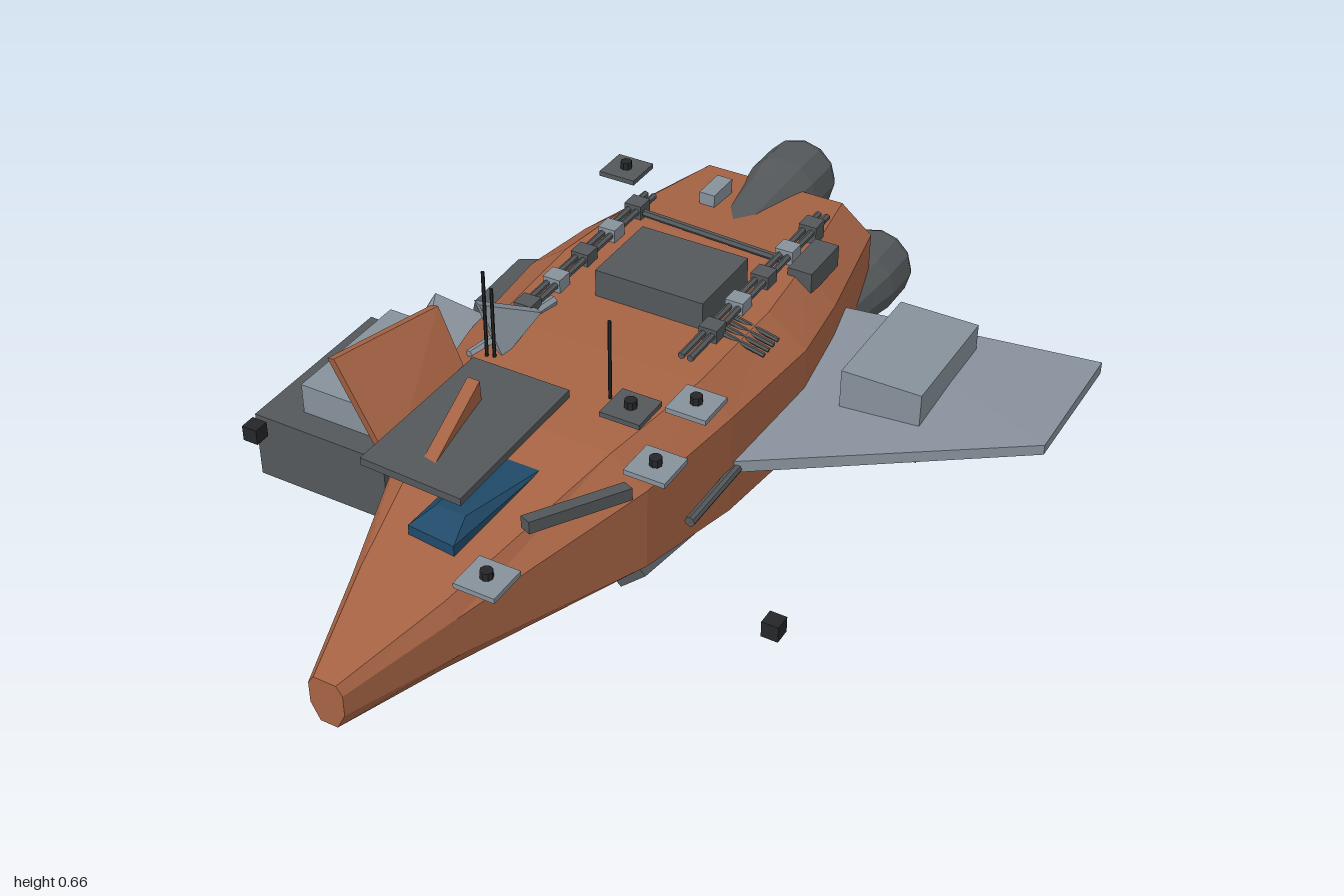
import * as THREE from 'three';
import { ConvexGeometry } from 'three/addons/geometries/ConvexGeometry.js';

const mat = (name, color) => {
  const m = new THREE.MeshStandardMaterial({ color });
  m.name = name;
  return m;
};

export function createModel() {
  const group = new THREE.Group();
  const rust = mat('rust', 0xa66344);
  const steel = mat('steel', 0x87919b);
  const dark = mat('dark grey', 0x54585a);
  const black = mat('black', 0x242628);
  const blue = mat('canopy blue', 0x204a69);

  const add = (name, geo, material, x = 0, y = 0, z = 0) => {
    let g = geo.index ? geo.toNonIndexed() : geo;
    g.computeVertexNormals();
    const m = new THREE.Mesh(g, material);
    m.name = name;
    m.position.set(x, y, z);
    group.add(m);
    return m;
  };
  // box given by its limits on each axis
  const box = (name, material, x0, x1, y0, y1, z0, z1) =>
    add(name, new THREE.BoxGeometry(x1 - x0, y1 - y0, z1 - z0), material,
      (x0 + x1) / 2, (y0 + y1) / 2, (z0 + z1) / 2);
  // flat plate through the given corners, thickened along a vector
  const plate = (name, material, corners, tx, ty, tz) => {
    const pts = [];
    for (const [x, y, z] of corners)
      for (const s of [-0.5, 0.5]) pts.push(new THREE.Vector3(x + s * tx, y + s * ty, z + s * tz));
    return add(name, new ConvexGeometry(pts), material);
  };
  // round bar between two points
  const rod = (name, material, a, b, r, sides = 8) => {
    const p = new THREE.Vector3(...a), q = new THREE.Vector3(...b);
    const d = q.clone().sub(p);
    const m = add(name, new THREE.CylinderGeometry(r, r, d.length(), sides), material);
    m.position.copy(p).add(q).multiplyScalar(0.5);
    m.quaternion.setFromUnitVectors(new THREE.Vector3(0, 1, 0), d.normalize());
    return m;
  };

  // hull: eight-sided sections [z, half width, top half, bottom half, y bottom, y low, y high, y top]
  const cx = -0.125;
  const rings = [
    [1.0, 0.04, 0.026, 0.02, 0.19, 0.23, 0.28, 0.3],
    [0.74, 0.125, 0.1, 0.08, 0.155, 0.215, 0.31, 0.345],
    [0.28, 0.285, 0.2, 0.2, 0.1, 0.17, 0.37, 0.435],
    [0.0, 0.33, 0.25, 0.24, 0.08, 0.14, 0.39, 0.455],
    [-0.3, 0.355, 0.26, 0.26, 0.065, 0.13, 0.39, 0.46],
    [-0.5, 0.33, 0.24, 0.25, 0.058, 0.14, 0.385, 0.455],
    [-0.84, 0.26, 0.18, 0.18, 0.09, 0.17, 0.365, 0.43],
  ].map(([z, w, t, b, y0, y1, y2, y3]) =>
    [[b, y0], [w, y1], [w, y2], [t, y3], [-t, y3], [-w, y2], [-w, y1], [-b, y0]]
      .map(([x, y]) => [cx + x, y, z]));
  const pos = [];
  const tri = (...p) => p.forEach((v) => pos.push(...v));
  for (let i = 0; i < rings.length - 1; i++)
    for (let j = 0; j < 8; j++) {
      const k = (j + 1) % 8, f = rings[i], r = rings[i + 1];
      tri(f[j], r[j], r[k]);
      tri(f[j], r[k], f[k]);
    }
  const nose = rings[0], tail = rings[rings.length - 1];
  for (let j = 1; j < 7; j++) {
    tri(nose[0], nose[j], nose[j + 1]);
    tri(tail[0], tail[j + 1], tail[j]);
  }
  const hull = new THREE.BufferGeometry();
  hull.setAttribute('position', new THREE.Float32BufferAttribute(pos, 3));
  add('hull', hull, rust);

  // engines: tapered hollow nozzles opening to the rear
  const nozzle = [[0, 0.43], [0.055, 0.43], [0.08, 0.2], [0.094, 0.12], [0.094, 0.02],
    [0.085, 0], [0.066, 0], [0.06, 0.07]].map(([r, y]) => new THREE.Vector2(r, y)).reverse();
  for (const [x, y] of [[-0.31, 0.195], [cx, 0.385], [0.095, 0.195]]) {
    const e = add('engine', new THREE.LatheGeometry(nozzle, 12), dark, x, y, -1);
    e.rotation.x = Math.PI / 2;
    const c = add('engineCore', new THREE.CircleGeometry(0.066, 12), black, x, y, -0.935);
    c.rotation.y = Math.PI;
  }

  // main wing with its through-mounted pod and root gun
  const wing = [
    [0.16, 0.23, 0.01], [0.16, 0.26, 0.01], [0.16, 0.215, -0.61], [0.16, 0.305, -0.61],
    [0.79, 0.31, -0.31], [0.79, 0.335, -0.31], [0.79, 0.31, -0.65], [0.79, 0.34, -0.65],
  ].map((p) => new THREE.Vector3(...p));
  add('mainWing', new ConvexGeometry(wing), steel);
  box('wingPod', steel, 0.33, 0.52, 0.21, 0.39, -0.58, -0.27);
  rod('wingGun', dark, [0.21, 0.245, 0.19], [0.21, 0.245, -0.05], 0.012);

  // small drooping wing and upper side fins
  plate('smallWing', dark, [[-0.42, 0.25, -0.15], [-0.42, 0.25, -0.58],
    [-0.73, 0.13, -0.61], [-0.73, 0.12, -0.41]], 0.01, 0.04, 0);
  plate('sideFin', steel, [[-0.42, 0.36, -0.08], [-0.565, 0.43, -0.02],
    [-0.6, 0.29, 0.13], [-0.43, 0.25, 0.3]], 0.015, 0.025, 0);
  plate('tallFin', rust, [[-0.52, 0.54, 0.41], [-0.4, 0.59, 0.2],
    [-0.32, 0.4, 0.2], [-0.39, 0.3, 0.41]], 0.025, 0.012, 0.01);
  plate('backFin', steel, [[-0.355, 0.56, 0.11], [-0.29, 0.48, -0.03], [-0.3, 0.44, 0.11]], 0.02, 0, 0.01);

  // cargo boxes
  box('sideBox', dark, -0.8, -0.455, 0.09, 0.255, -0.09, 0.35);
  box('sideBoxLid', steel, -0.71, -0.5, 0.255, 0.33, -0.05, 0.29);
  box('bellyBox', steel, -0.42, -0.1, 0.005, 0.08, -0.45, -0.03);
  box('topBox', dark, -0.23, 0.04, 0.44, 0.525, -0.38, -0.17);

  // cockpit: canopy, roof slab and roof blade
  plate('canopy', blue, [[-0.185, 0.375, 0.63], [-0.07, 0.375, 0.64], [-0.03, 0.4, 0.36],
    [-0.16, 0.4, 0.36], [-0.15, 0.405, 0.58], [-0.08, 0.405, 0.58]], 0, 0.03, 0);
  plate('roofSlab', dark, [[-0.33, 0.46, 0.58], [-0.09, 0.45, 0.58],
    [-0.09, 0.455, 0.17], [-0.33, 0.455, 0.17]], 0, 0.018, 0);
  plate('roofBlade', rust, [[-0.205, 0.46, 0.53], [-0.245, 0.46, 0.29], [-0.24, 0.52, 0.3]], 0.03, 0, 0);
  box('roofMount', dark, -0.29, -0.13, 0.36, 0.45, 0.22, 0.48);

  // lower chine plates and belly sensor
  plate('chinePlate', dark, [[0.08, 0.085, 0.27], [0.14, 0.14, 0.27],
    [0.2, 0.125, -0.26], [0.11, 0.068, -0.27]], 0.02, -0.02, 0);
  box('chineBlock', dark, -0.435, -0.395, 0.07, 0.15, 0.2, 0.28);
  rod('bellySensor', steel, [0, 0.09, -0.1], [0, 0.04, -0.1], 0.014);

  // rail guns along the back
  for (const [x, z0, z1] of [[-0.325, -0.58, 0.04], [0.07, -0.7, -0.04]]) {
    for (const dx of [-0.011, 0.011])
      rod('railTube', dark, [x + dx, 0.475, z0], [x + dx, 0.475, z1], 0.008, 6);
    for (let i = 0; i < 5; i++) {
      const z = z0 + 0.06 + i * 0.12;
      box('railBlock', i % 2 ? steel : dark, x - 0.022, x + 0.022, 0.445, 0.49, z - 0.022, z + 0.022);
    }
  }
  rod('crossBar', dark, [-0.3, 0.47, -0.51], [0.07, 0.47, -0.49], 0.009, 6);
  rod('sideRod', steel, [-0.36, 0.44, 0.14], [-0.295, 0.465, -0.1], 0.012, 6);
  for (let i = 0; i < 4; i++)
    rod('sideGrille', dark, [0.08, 0.465, -0.24 + i * 0.022], [0.19, 0.44, -0.24 + i * 0.022], 0.006, 6);
  box('sideHousing', dark, 0.1, 0.16, 0.42, 0.475, -0.6, -0.46);
  box('engineVent', steel, -0.23, -0.19, 0.43, 0.475, -0.74, -0.65);
  plate('shoulderBar', dark, [[0.03, 0.43, 0.55], [0.055, 0.43, 0.56],
    [0.155, 0.395, 0.33], [0.13, 0.395, 0.32]], 0, 0.03, 0);

  // square sensor pads with a button and post
  for (const [x, y, z, m] of [[-0.445, 0.46, -0.675, dark], [0.165, 0.465, 0.085, steel],
    [0.055, 0.465, 0.165, dark], [0.185, 0.45, 0.29, steel], [0.03, 0.375, 0.675, steel]]) {
    add('sensorPad', new THREE.BoxGeometry(0.095, 0.012, 0.095), m, x, y, z);
    add('sensorButton', new THREE.CylinderGeometry(0.014, 0.014, 0.02, 8), black, x, y + 0.014, z);
  }

  // antennas
  for (const [x, z, top] of [[-0.322, 0.13, 0.66], [-0.306, 0.125, 0.62], [-0.015, 0.13, 0.64]])
    rod('antenna', black, [x, 0.42, z], [x, top, z], 0.004, 6);

  // free-standing beacon cubes
  for (const x of [-0.77, 0.51])
    add('beacon', new THREE.BoxGeometry(0.038, 0.038, 0.038), black, x, 0.245, 0.39);

  return group;
}
